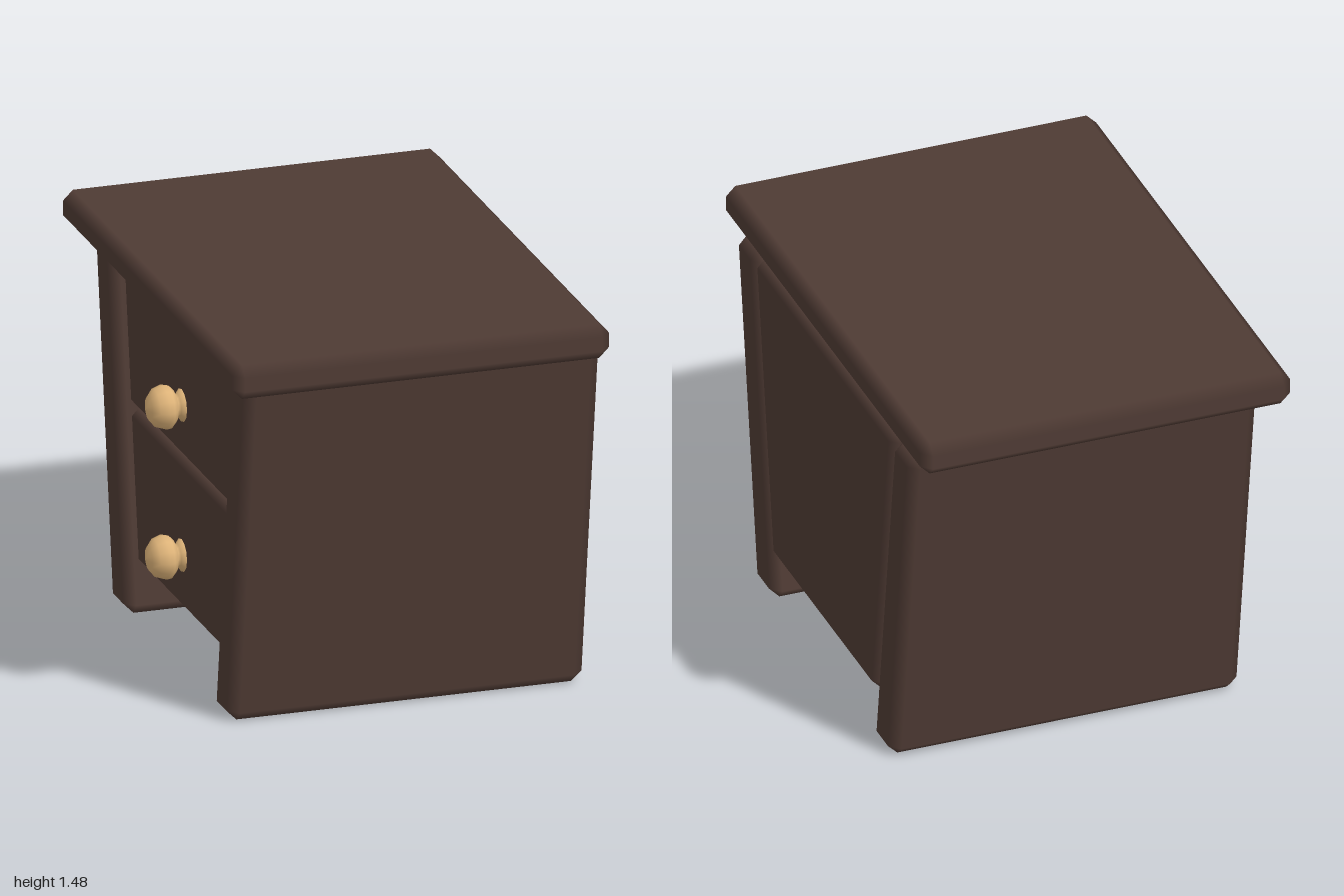
import * as THREE from 'three';
import { ConvexGeometry } from 'three/addons/geometries/ConvexGeometry.js';

const wood = new THREE.MeshStandardMaterial({ color: 0x4f3b34 });
const knobWood = new THREE.MeshStandardMaterial({ color: 0xe0b57a });

// Chamfered board from x0..x1 and y0..y1; its z range runs from `bottom` [z0, z1] to `top` [z0, z1].
// Normals follow the six main faces, so the chamfers shade softly.
function board(name, [x0, x1], [y0, y1], bottom, top, c) {
  const half = [(x1 - x0) / 2, (y1 - y0) / 2, (bottom[1] - bottom[0]) / 2];
  const points = [];
  for (const sx of [-1, 1]) for (const sy of [-1, 1]) for (const sz of [-1, 1]) {
    const s = [sx, sy, sz];
    for (let axis = 0; axis < 3; axis++) {
      points.push(new THREE.Vector3(...s.map((v, i) => v * (half[i] - (i === axis ? 0 : c)))));
    }
  }
  const geometry = new ConvexGeometry(points);
  const pos = geometry.attributes.position;
  const normal = geometry.attributes.normal;
  const n = new THREE.Vector3();
  for (let i = 0; i < pos.count; i++) {
    const p = [pos.getX(i), pos.getY(i), pos.getZ(i)];
    const axis = p.findIndex((v, k) => Math.abs(Math.abs(v) - half[k]) < 1e-4);
    const sign = Math.sign(p[axis]);
    const side = p[2] > 0 ? 1 : 0;
    const slope = (top[side] - bottom[side]) / (y1 - y0);
    if (axis === 0) n.set(sign, 0, 0);
    else if (axis === 1) n.set(0, sign, 0);
    else n.set(0, -slope * sign, sign).normalize();
    normal.setXYZ(i, n.x, n.y, n.z);

    // lean the z faces from the bottom range to the top range
    const t = (p[1] + half[1]) / (y1 - y0);
    const edge = THREE.MathUtils.lerp(bottom[side], top[side], t);
    const inset = half[2] - Math.abs(p[2]);
    pos.setXYZ(i, p[0] + (x0 + x1) / 2, p[1] + (y0 + y1) / 2, edge - Math.sign(p[2]) * inset);
  }
  const mesh = new THREE.Mesh(geometry, wood);
  mesh.name = name;
  return mesh;
}

// Half width of the space between the leaning sides at height y
const innerHalf = (y) => THREE.MathUtils.mapLinear(y, 0.19, 1.35, 0.515, 0.685);

// Tapered board that fills the space between the sides
function infill(name, xRange, y0, y1, c) {
  const b = innerHalf(y0), t = innerHalf(y1);
  return board(name, xRange, [y0, y1], [-b, b], [-t, t], c);
}

// Round knob with a foot and neck, pointing to -x
function knob(y) {
  const profile = [[0, 0], [0.055, 0], [0.062, 0.012], [0.045, 0.026], [0.04, 0.034], [0.062, 0.042],
    [0.08, 0.06], [0.083, 0.08], [0.072, 0.112], [0.045, 0.135], [0, 0.145]];
  const geometry = new THREE.LatheGeometry(profile.map(([r, h]) => new THREE.Vector2(r, h)), 12);
  const mesh = new THREE.Mesh(geometry, knobWood);
  mesh.name = 'knob';
  mesh.rotation.z = Math.PI / 2;
  mesh.position.set(-0.575, y, 0);
  return mesh;
}

export function createModel() {
  const group = new THREE.Group();
  group.name = 'drawerCabinet';

  // Top board
  group.add(board('topBoard', [-0.715, 0.715], [1.35, 1.48], [-1, 1], [-1, 1], 0.038));

  // Leaning side boards that also serve as feet
  group.add(board('leftSide', [-0.63, 0.715], [0, 1.35], [0.49, 0.68], [0.685, 0.875], 0.038));
  group.add(board('rightSide', [-0.63, 0.715], [0, 1.35], [-0.68, -0.49], [-0.875, -0.685], 0.038));

  // Closed panel on one end, drawer fronts on the other
  group.add(infill('backPanel', [0.625, 0.715], 0.19, 1.35, 0.032));
  group.add(infill('lowerDrawer', [-0.585, -0.495], 0.19, 0.77, 0.03));
  group.add(infill('upperDrawer', [-0.585, -0.495], 0.77, 1.35, 0.03));

  for (const y of [0.405, 0.98]) group.add(knob(y));
  return group;
}
